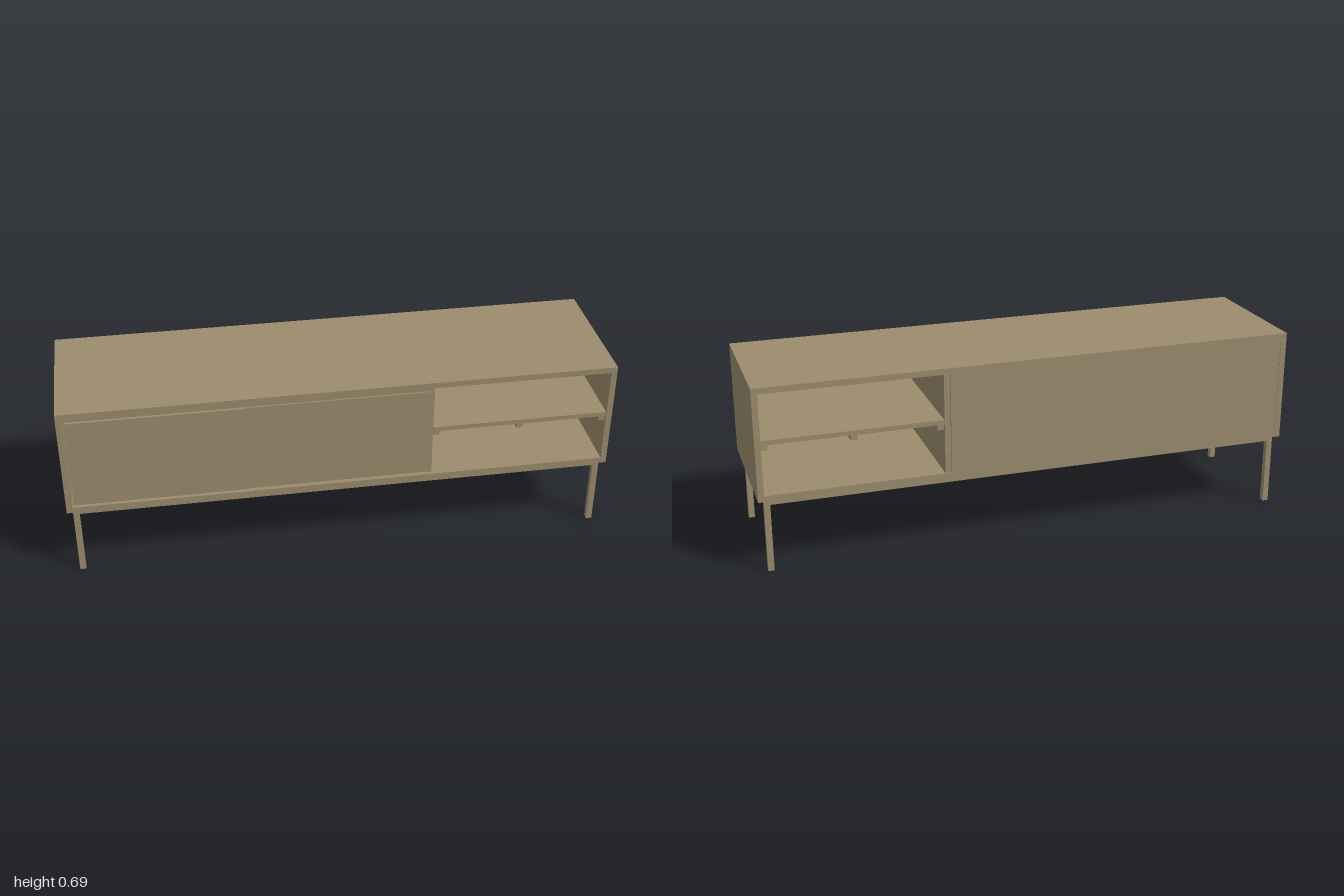
import * as THREE from 'three';

export function createModel() {
  const group = new THREE.Group();
  const wood = new THREE.MeshStandardMaterial({ color: 0x9c8c6e });
  wood.name = 'wood';

  // box given by its minimum and maximum on each axis
  const part = (name, x0, x1, y0, y1, z0, z1) => {
    const mesh = new THREE.Mesh(new THREE.BoxGeometry(x1 - x0, y1 - y0, z1 - z0), wood);
    mesh.position.set((x0 + x1) / 2, (y0 + y1) / 2, (z0 + z1) / 2);
    mesh.name = name;
    group.add(mesh);
  };

  const D = 0.262, T = 0.022, H = 0.687, B = 0.272;
  const inner = 1 - T;

  // carcass
  part('topPanel', -1, 1, H - T, H, -D, D);
  part('bottomPanel', -1, 1, B, B + T, -D, D);
  part('rightSide', -1, -inner, B + T, H - T, -D, D);
  part('leftSide', inner, 1, B + T, H - T, -D, D);
  part('divider', 0.31, 0.332, B + T, H - T, -D + 0.002, D - 0.014);
  part('backPanel', -inner, 0.308, B + T, H - T, -D + 0.002, -D + 0.018);

  // sliding doors with their upper track
  part('doorTrack', -inner, 0.31, 0.645, H - T, 0.21, D - 0.016);
  part('outerDoor', -0.972, -0.345, B + T + 0.003, 0.643, 0.236, D - 0.009);
  part('innerDoor', -0.36, 0.318, B + T + 0.003, 0.643, 0.222, D - 0.013);

  // open bay shelf on three cross battens
  part('shelf', 0.332, inner, 0.479, 0.496, -D + 0.004, D - 0.004);
  for (const x of [0.332, 0.643, 0.954])
    part('shelfBatten', x, x + 0.024, 0.457, 0.479, -D + 0.012, D - 0.012);

  // legs and the long rails joining them
  for (const s of [-1, 1]) {
    const z0 = s * 0.2345 - 0.011, z1 = s * 0.2345 + 0.011;
    part('legRail', -0.957, 0.957, 0.252, B, z0, z1);
    for (const m of [-1, 1])
      part('leg', m * 0.968 - 0.011, m * 0.968 + 0.011, 0, B, z0, z1);
  }
  return group;
}
